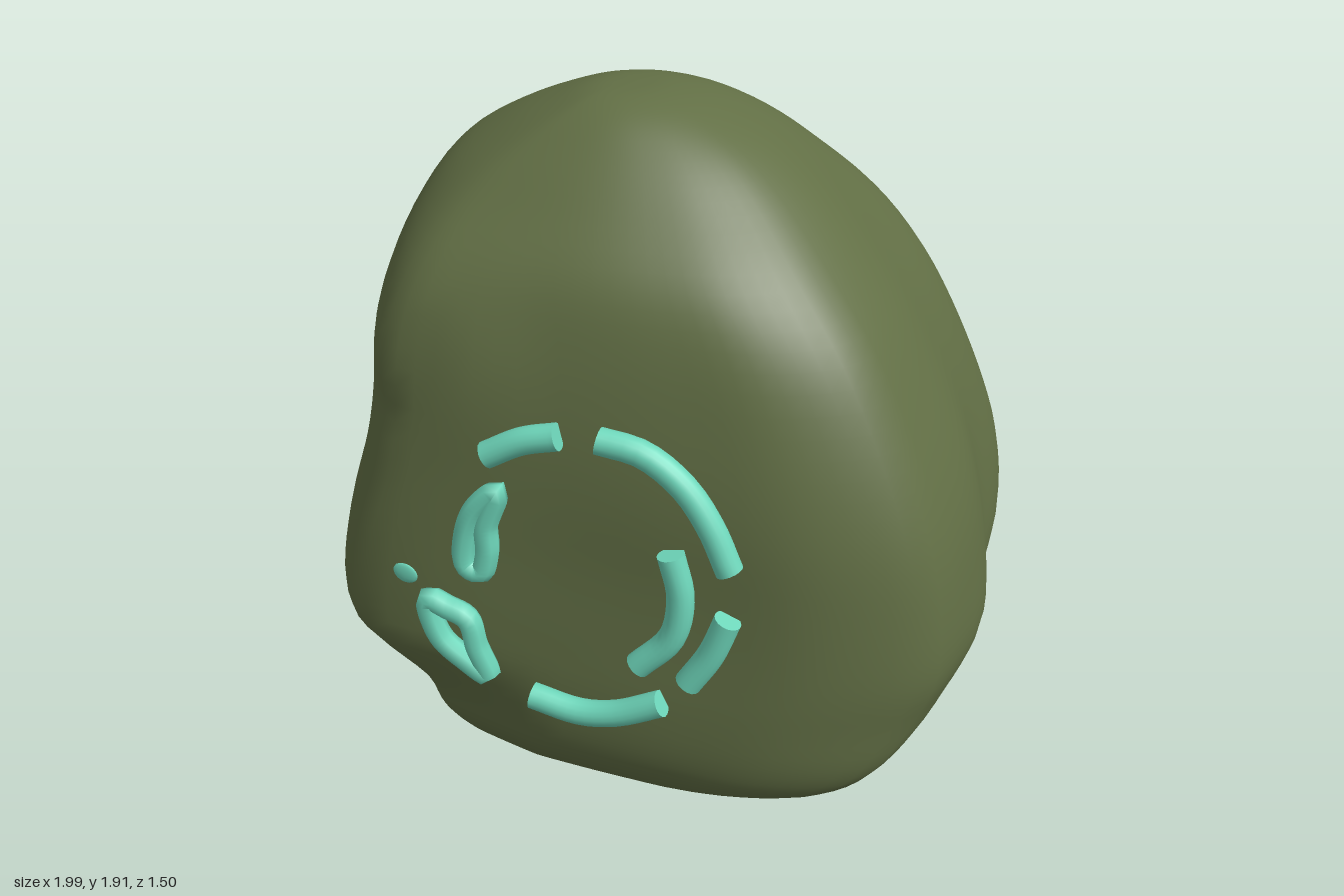
import * as THREE from 'three';
import { mergeVertices, toCreasedNormals } from 'three/addons/utils/BufferGeometryUtils.js';

const V = (x, y, z = 0) => new THREE.Vector3(x, y, z);
const { clamp, smoothstep } = THREE.MathUtils;

// Plan outline of the boulder (x, z) at its widest level
const OUTLINE = [
  [-1, -0.12], [-0.97, -0.3], [-0.9, -0.4], [-0.77, -0.48], [-0.4, -0.56], [0, -0.65],
  [0.47, -0.75], [0.65, -0.74], [0.78, -0.66], [0.87, -0.5], [0.92, -0.22], [0.99, 0],
  [0.99, 0.2], [0.94, 0.37], [0.7, 0.52], [0.4, 0.58], [0, 0.64], [-0.3, 0.69],
  [-0.5, 0.7], [-0.62, 0.62], [-0.73, 0.45], [-0.86, 0.2], [-0.95, 0],
];

// Levels: y, left x, right x, back z, front z, roundness of the section
const LEVELS = [
  [0.0, -0.14, -0.14, 0.34, 0.34, 0.4], [0.02, -0.32, 0.02, 0.22, 0.42, 0.35],
  [0.06, -0.54, 0.25, 0.14, 0.48, 0.3], [0.11, -0.66, 0.51, 0.06, 0.54, 0.25],
  [0.2, -0.79, 0.74, -0.11, 0.62, 0.2], [0.3, -0.87, 0.87, -0.33, 0.665, 0.15],
  [0.45, -0.955, 0.95, -0.6, 0.695, 0.05], [0.6, -1, 1, -0.72, 0.7, 0],
  [0.8, -0.95, 0.98, -0.75, 0.695, 0], [1.0, -0.86, 0.93, -0.715, 0.685, 0.05],
  [1.2, -0.79, 0.85, -0.67, 0.665, 0.12], [1.4, -0.73, 0.74, -0.62, 0.63, 0.25],
  [1.56, -0.66, 0.61, -0.56, 0.57, 0.4], [1.7, -0.55, 0.47, -0.43, 0.45, 0.55],
  [1.8, -0.39, 0.34, -0.31, 0.35, 0.65], [1.87, -0.23, 0.2, -0.19, 0.26, 0.75],
  [1.905, -0.12, 0.08, -0.07, 0.17, 0.8], [1.912, -0.02, -0.02, 0.05, 0.05, 0.8],
];

// How much a corner of the section is filled out (+) or cut back (-)
function cornerScale(u, v, y) {
  const corner = 2 * Math.abs(u * v) / (u * u + v * v);
  const low = 1 - smoothstep(y, 0.25, 0.55);
  const shoulder = Math.exp(-((y - 1.35) ** 2) / 0.04);
  if (v < 0) return 1 + corner * low * (u > 0 ? 0.25 : 0.12);
  return u < 0 ? 1 + corner * (0.05 * shoulder - 0.2 * low) : 1;
}

function rockGeometry() {
  const N = 80, M = 68;
  const smooth = (pts, closed) => new THREE.CatmullRomCurve3(pts, closed, 'catmullrom', 0.5);
  const plan = smooth(OUTLINE.map(([x, z]) => V(x, 0, z)), true).getSpacedPoints(N).slice(0, N);
  const sideX = smooth(LEVELS.map((l) => V(l[1], l[0], l[2])), false);
  const sideZ = smooth(LEVELS.map((l) => V(l[3], l[5], l[4])), false);
  const pos = [], index = [];
  for (let i = 0; i <= M; i++) {
    const a = sideX.getPoint(i / M), b = sideZ.getPoint(i / M);
    for (let j = 0; j < N; j++) {
      // blend the angular outline towards an ellipse near top and bottom
      let u = plan[j].x, v = (plan[j].z + 0.025) / 0.725;
      const k = 1 + (1 / Math.hypot(u, v) - 1) * b.y, s = k * cornerScale(u, v, a.y);
      u = clamp(u * s, -1, 1);
      v = clamp(v * s, -1, 1);
      // gentle lumps
      const lump = 1 + 0.007 * Math.sin(5 * u + 4 * a.y) * Math.sin(6 * a.y + 4 * v);
      const x = (a.x + a.z) / 2 + (a.z - a.x) / 2 * u * lump;
      let z = (b.x + b.z) / 2 + (b.z - b.x) / 2 * v * lump;
      // small chip on the upper front corner
      if (v > 0) z -= 0.025 * Math.exp(-((x + 0.45) ** 2 + (a.y - 1.17) ** 2) / 0.004);
      pos.push(x, a.y, z);
      if (i < M) {
        const p = i * N + j, q = i * N + (j + 1) % N;
        index.push(p, p + N, q, q, p + N, q + N);
      }
    }
  }
  let g = new THREE.BufferGeometry();
  g.setAttribute('position', new THREE.Float32BufferAttribute(pos, 3));
  g.setIndex(index);
  g = mergeVertices(g, 1e-4);
  g.computeVertexNormals();
  return g;
}

// Strokes of the broken ring on the front face (x, y)
const BARS = [
  [[-0.11, 1.135], [-0.02, 1.185], [0.07, 1.21]],
  [[0.17, 1.215], [0.28, 1.195], [0.38, 1.125], [0.45, 1.03], [0.5, 0.92]],
  [[0.355, 0.94], [0.38, 0.82], [0.36, 0.7], [0.275, 0.6]],
  [[0.5, 0.78], [0.46, 0.67], [0.405, 0.575]],
  [[-0.01, 0.44], [0.12, 0.42], [0.22, 0.44], [0.34, 0.5]],
];
const LOOPS = [
  [[-0.085, 1.035], [-0.14, 0.98], [-0.17, 0.9], [-0.172, 0.815], [-0.135, 0.8], [-0.115, 0.86], [-0.115, 0.94]],
  [[-0.28, 0.69], [-0.23, 0.675], [-0.175, 0.65], [-0.155, 0.57], [-0.13, 0.48], [-0.19, 0.52], [-0.255, 0.58]],
];

export function createModel() {
  const model = new THREE.Group();
  const stone = new THREE.MeshStandardMaterial({ color: 0x626f45 });
  stone.name = 'mossy stone';
  const glow = new THREE.MeshStandardMaterial({ color: 0x6fd8bc });
  glow.name = 'turquoise';
  const add = (name, geometry, material, parent) => {
    const mesh = new THREE.Mesh(geometry, material);
    mesh.name = name;
    parent.add(mesh);
    return mesh;
  };

  const rock = add('boulder', rockGeometry(), stone, model);

  // Marks are laid on the front surface of the boulder
  const ray = new THREE.Raycaster();
  const onRock = ([x, y], lift) => {
    ray.set(V(x, y, 3), V(0, 0, -1));
    const hit = ray.intersectObject(rock)[0];
    return V(x, y, (hit ? hit.point.z : 0.65) + lift);
  };
  const marks = new THREE.Group();
  marks.name = 'ringMarks';
  model.add(marks);

  const section = new THREE.Shape();
  section.absarc(0, 0, 0.035, 0, Math.PI * 2);
  BARS.forEach((pts, i) => {
    const path = new THREE.CatmullRomCurve3(pts.map((p) => onRock(p, 0.022)));
    const bar = new THREE.ExtrudeGeometry(section, {
      extrudePath: path, steps: 14, curveSegments: 8, bevelEnabled: false,
    });
    add('ringBar' + (i + 1), toCreasedNormals(bar, 0.9), glow, marks);
  });
  LOOPS.forEach((pts, i) => {
    const path = new THREE.CatmullRomCurve3(pts.map((p) => onRock(p, 0.024)), true);
    add('ringLoop' + (i + 1), new THREE.TubeGeometry(path, 40, 0.032, 8, true), glow, marks);
  });

  // Small spot beside the lower loop
  const spot = add('spot', new THREE.SphereGeometry(0.038, 12, 8), glow, marks);
  spot.scale.set(1, 0.75, 0.2);
  spot.position.copy(onRock([-0.36, 0.735], 0));
  return model;
}
